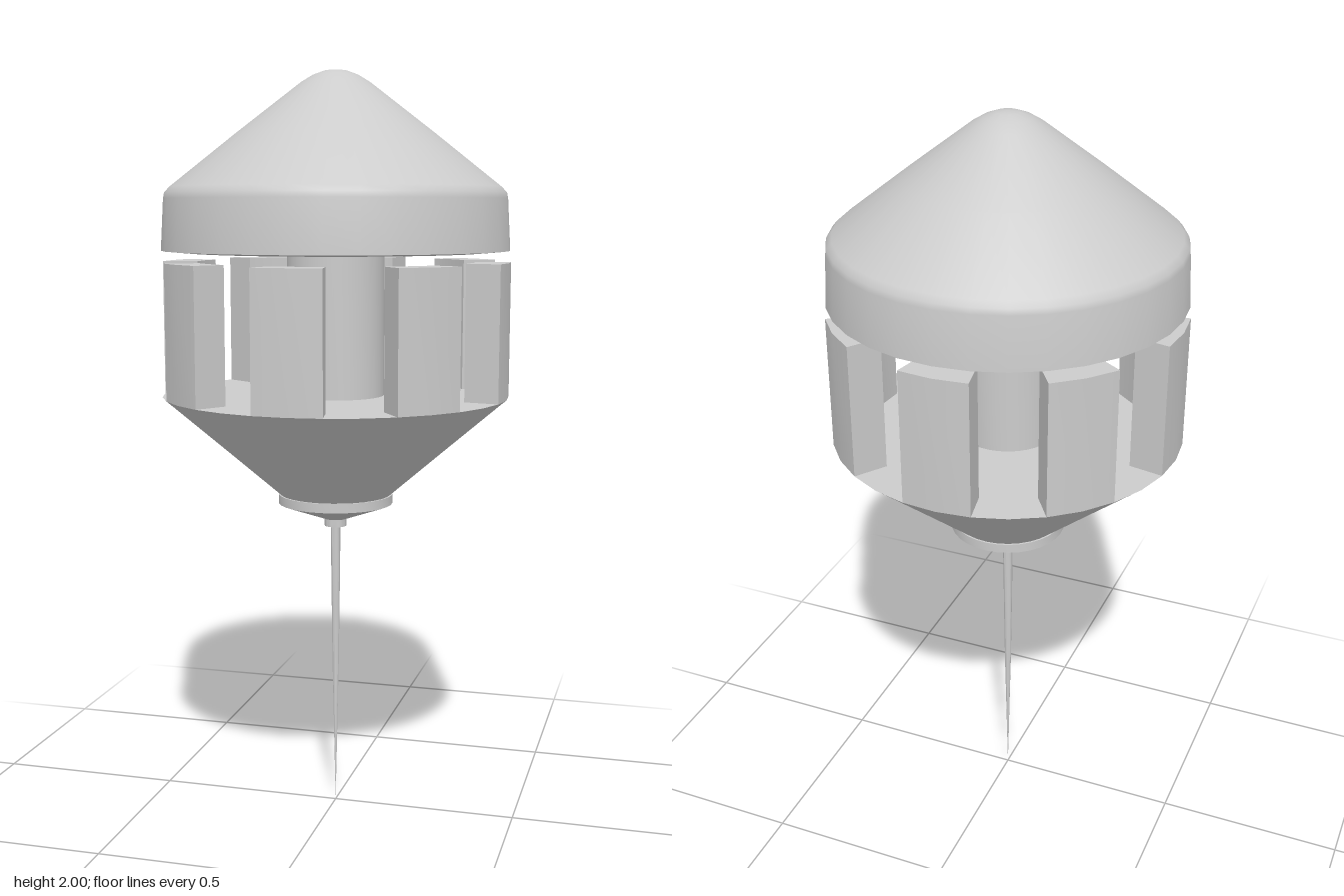
import * as THREE from 'three';
import { toCreasedNormals } from 'three/addons/utils/BufferGeometryUtils.js';

const SIDES = 32;
const STEP = (Math.PI * 2) / SIDES;
const material = new THREE.MeshStandardMaterial({ color: 0xcccccc, side: THREE.DoubleSide });

function part(name, geometry) {
  const mesh = new THREE.Mesh(toCreasedNormals(geometry, 0.6), material);
  mesh.name = name;
  return mesh;
}

// Turned part from [radius, height] pairs, listed from the bottom up
function turned(name, profile, sides = SIDES) {
  return part(name, new THREE.LatheGeometry(profile.map(([r, y]) => new THREE.Vector2(r, y)), sides));
}

// Curved wall pillar, two segments wide, standing along +z
function pillarGeometry(inner, outer, height) {
  const at = (r, a) => new THREE.Vector2(r * Math.sin(a), -r * Math.cos(a));
  const outline = [-1, 0, 1].map((i) => at(outer, i * STEP))
    .concat([1, 0, -1].map((i) => at(inner, i * STEP)));
  const geometry = new THREE.ExtrudeGeometry(new THREE.Shape(outline), { depth: height, bevelEnabled: false });
  return geometry.rotateX(-Math.PI / 2);
}

export function createModel() {
  const model = new THREE.Group();
  model.name = 'toweredCapsule';

  // Pointed roof with a rounded tip, upright rim and flat underside
  model.add(turned('roof', [
    [0, 1.53], [0.4, 1.53], [0.46, 1.535], [0.452, 1.67], [0.449, 1.685], [0.435, 1.7],
    [0.26, 1.838], [0.09, 1.968], [0.06, 1.986], [0.03, 1.997], [0, 2],
  ]));

  // Central column between floor and roof
  model.add(turned('core', [[0.13, 1.14], [0.13, 1.535]]));

  // Funnel-shaped hull, closed by the floor
  model.add(turned('hull', [
    [0.15, 0.88], [0.3, 1.01], [0.445, 1.135], [0.463, 1.15], [0, 1.15],
  ]));

  // Flange and collar under the hull
  model.add(turned('flange', [
    [0, 0.79], [0.03, 0.79], [0.03, 0.81], [0.155, 0.855], [0.155, 0.88], [0, 0.885],
  ]));

  // Long tapering needle
  model.add(turned('needle', [
    [0, 0], [0.003, 0.13], [0.006, 0.27], [0.009, 0.4], [0.011, 0.55], [0.014, 0.8],
  ], 12));

  // Ring of eight pillars with open windows between them
  const pillars = new THREE.Group();
  pillars.name = 'pillars';
  const geometry = pillarGeometry(0.37, 0.463, 0.355);
  for (let i = 0; i < 8; i++) {
    const pillar = part('pillar', geometry);
    pillar.position.y = 1.15;
    pillar.rotation.y = (i * Math.PI) / 4;
    pillars.add(pillar);
  }
  model.add(pillars);

  return model;
}
